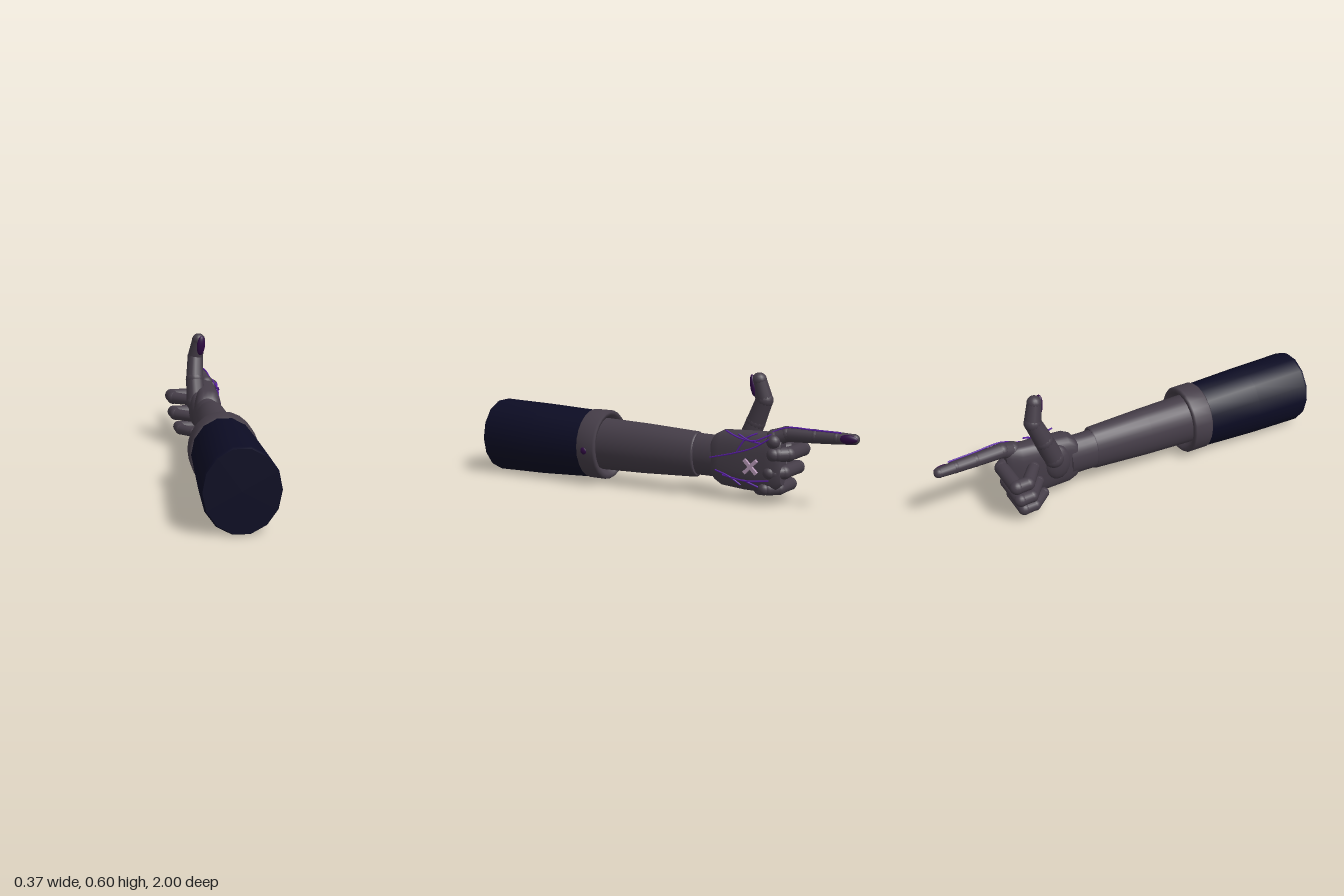
import * as THREE from 'three';

const mat = (name, color, side = THREE.FrontSide) => {
  const m = new THREE.MeshStandardMaterial({ color, side });
  m.name = name;
  return m;
};
const V = (p) => new THREE.Vector3(...p);

// Skin of rounded cross-sections running toward -z: [z, cx, cy, rx, ry]; n > 2 squares the section off
function loft(sections, segs, n = 2, caps = true) {
  const pos = [], idx = [];
  const ring = ([z, cx, cy, rx, ry]) => {
    for (let j = 0; j < segs; j++) {
      const a = (j / segs) * Math.PI * 2, c = Math.cos(a), s = Math.sin(a);
      pos.push(cx + rx * Math.sign(c) * Math.abs(c) ** (2 / n),
        cy + ry * Math.sign(s) * Math.abs(s) ** (2 / n), z);
    }
  };
  sections.forEach(ring);
  for (let i = 0; i < sections.length - 1; i++) {
    for (let j = 0; j < segs; j++) {
      const k = (j + 1) % segs, a = i * segs + j, b = i * segs + k;
      idx.push(a, a + segs, b, b, a + segs, b + segs);
    }
  }
  if (caps) {
    [sections[0], sections[sections.length - 1]].forEach((s, e) => {
      const base = pos.length / 3;
      ring(s);
      pos.push(s[1], s[2], s[0]);
      for (let j = 0; j < segs; j++) {
        const a = base + j, b = base + (j + 1) % segs;
        idx.push(base + segs, e ? b : a, e ? a : b);
      }
    });
  }
  const g = new THREE.BufferGeometry();
  g.setAttribute('position', new THREE.Float32BufferAttribute(pos, 3));
  g.setIndex(idx);
  g.computeVertexNormals();
  return g;
}

export function createModel() {
  const root = new THREE.Group();
  const skin = mat('charcoal glove', 0x453d48);
  const navy = mat('navy sleeve', 0x0c0c24);
  const plum = mat('plum nail', 0x300a44);
  const violet = mat('violet vein', 0x5a1ea6);
  const pink = mat('pale mauve cross', 0xb899b8);

  const add = (name, geo, m, parent = root) => {
    const mesh = new THREE.Mesh(geo, m);
    mesh.name = name;
    parent.add(mesh);
    return mesh;
  };
  const ball = (name, p, r, m, parent, scale = [1, 1, 1]) => {
    const b = add(name, new THREE.SphereGeometry(r, 16, 12), m, parent);
    b.position.set(...p);
    b.scale.set(...scale);
    return b;
  };
  // Chain of tapered bones with slightly bulging joints: points [x, y, z, radius]
  const finger = (name, pts) => {
    const g = new THREE.Group();
    g.name = name;
    root.add(g);
    pts.forEach((p, i) => {
      ball('joint', p.slice(0, 3), p[3] * 1.03, skin, g);
      if (!i) return;
      const q = pts[i - 1], a = V(q.slice(0, 3)), b = V(p.slice(0, 3));
      const bone = add('bone', new THREE.CylinderGeometry(p[3], q[3], a.distanceTo(b), 14, 1, true), skin, g);
      bone.position.copy(a).lerp(b, 0.5);
      bone.quaternion.setFromUnitVectors(new THREE.Vector3(0, 1, 0), b.sub(a).normalize());
    });
    return g;
  };

  // Sleeve, cuff and forearm
  add('sleeve', loft([
    [1, 0.014, 0.186, 0.161, 0.182], [0.985, 0.014, 0.186, 0.168, 0.189],
    [0.7, 0.014, 0.186, 0.163, 0.183], [0.4, 0.014, 0.188, 0.152, 0.170],
  ], 14), navy);
  add('cuff', loft([
    [0.415, 0.014, 0.19, 0.13, 0.14], [0.42, 0.014, 0.19, 0.15, 0.166], [0.41, 0.014, 0.19, 0.161, 0.175],
    [0.32, 0.014, 0.19, 0.161, 0.175], [0.31, 0.014, 0.19, 0.153, 0.167], [0.312, 0.014, 0.19, 0.138, 0.15],
    [0.33, 0.014, 0.19, 0.13, 0.142], [0.37, 0.014, 0.19, 0.09, 0.1],
  ], 24, 2, false), skin);
  ball('cuffStud', [0.172, 0.18, 0.37], 0.018, plum, root, [0.5, 1, 1]);
  add('forearm', loft([
    [0.4, 0.011, 0.193, 0.108, 0.133], [0.1, 0.014, 0.193, 0.098, 0.125],
    [-0.19, 0.018, 0.194, 0.084, 0.111], [-0.197, 0.018, 0.194, 0.078, 0.105],
  ], 24), skin);
  add('wrist', loft([
    [-0.18, 0.01, 0.195, 0.073, 0.102], [-0.25, 0.01, 0.195, 0.072, 0.101], [-0.33, 0.012, 0.195, 0.074, 0.102],
  ], 24), skin);

  // Palm, squared in section
  add('palm', loft([
    [-0.285, 0.014, 0.197, 0.062, 0.092], [-0.3, 0.016, 0.197, 0.07, 0.112],
    [-0.335, 0.018, 0.196, 0.072, 0.132], [-0.45, 0.022, 0.195, 0.07, 0.14],
    [-0.57, 0.026, 0.196, 0.063, 0.143], [-0.62, 0.03, 0.202, 0.054, 0.134],
    [-0.642, 0.032, 0.206, 0.036, 0.11],
  ], 28, 2.8), skin);
  ball('thumbMound', [-0.03, 0.215, -0.4], 0.05, skin, root, [0.9, 1.9, 1.4]);
  ball('heelBump', [0.02, 0.068, -0.525], 0.034, skin, root);

  // Thumb and pointing finger
  finger('thumb', [
    [-0.035, 0.25, -0.42, 0.05], [-0.038, 0.365, -0.468, 0.046],
    [-0.03, 0.475, -0.515, 0.041], [-0.014, 0.57, -0.495, 0.034],
  ]);
  finger('indexFinger', [
    [0.035, 0.315, -0.6, 0.04], [0.024, 0.336, -0.655, 0.036], [0.016, 0.336, -0.79, 0.032],
    [0.01, 0.337, -0.89, 0.029], [0.005, 0.337, -0.972, 0.024],
  ]);
  const thumbNail = ball('thumbNail', [-0.004, 0.543, -0.469], 0.05, plum, root, [0.46, 1.05, 0.3]);
  thumbNail.rotation.set(0.15, 0.35, -0.08);
  ball('indexNail', [0.024, 0.338, -0.948], 0.045, plum, root, [0.3, 0.45, 1]).rotation.y = 0.08;

  // Curled fingers: height, knuckle z, reach toward -x, radius
  [['middleFinger', 0.242, -0.655, -0.148, 0.034],
    ['ringFinger', 0.155, -0.635, -0.138, 0.032],
    ['littleFinger', 0.076, -0.61, -0.112, 0.03]].forEach(([name, y, z, x, r]) => {
    finger(name, [
      [0.055, y, z + 0.03, r], [0.02, y, z - 0.008, r], [x, y - 0.003, z - 0.008, r],
      [x + 0.005, y - 0.005, z + 0.05, r * 0.95], [-0.045, y - 0.005, z + 0.125, r * 0.85],
    ]);
    ball('knuckle', [0.07, y, z + 0.045], r * 0.95, skin, root);
  });
  ball('indexKnuckle', [0.067, 0.302, -0.608], 0.033, skin, root);

  // Violet veins over the back of the hand and along the pointing finger
  [
    [[0.083, 0.2, -0.29], [0.094, 0.235, -0.42], [0.093, 0.27, -0.52], [0.093, 0.318, -0.6]],
    [[0.087, 0.24, -0.43], [0.085, 0.31, -0.48], [0.07, 0.335, -0.53]],
    [[0.075, 0.335, -0.37], [0.087, 0.31, -0.44], [0.088, 0.29, -0.56]],
    [[0.084, 0.325, -0.44], [0.09, 0.3, -0.51], [0.07, 0.335, -0.6]],
    [[0.087, 0.145, -0.32], [0.092, 0.12, -0.4], [0.08, 0.085, -0.45]],
    [[0.09, 0.125, -0.36], [0.093, 0.11, -0.48], [0.092, 0.122, -0.6]],
    [[0.09, 0.112, -0.47], [0.08, 0.085, -0.54], [0.07, 0.075, -0.57]],
    [[0.06, 0.34, -0.59], [0.044, 0.369, -0.66], [0.032, 0.367, -0.79], [0.025, 0.364, -0.92]],
  ].forEach((p) => add('vein', new THREE.TubeGeometry(
    new THREE.CatmullRomCurve3(p.map(V)), 14, 0.004, 6), violet));

  // Crossed bars on the back of the hand
  [1, -1].forEach((s) => {
    const bar = add('crossBar', new THREE.BoxGeometry(0.016, 0.088, 0.016), pink);
    bar.position.set(0.096, 0.18, -0.507);
    bar.rotation.x = s * Math.PI / 4;
  });
  return root;
}
